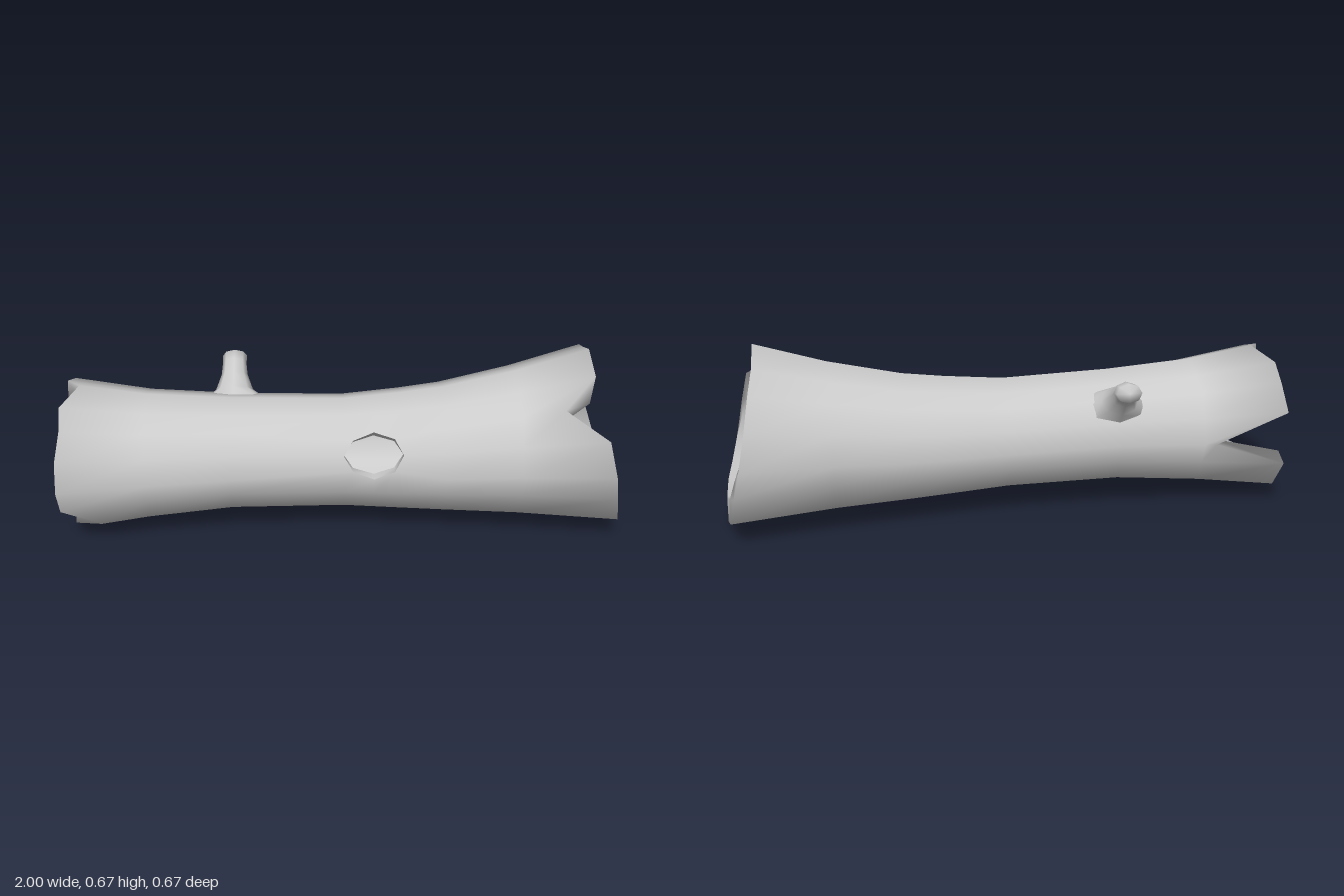
import * as THREE from 'three';

const COLS = 16, STEP = Math.PI / 8;
// [x, radius, centre height] of the bark and of the hollow
const OUTER = [[-0.98, 0.283, 0.293], [-0.7, 0.24, 0.29], [-0.4, 0.215, 0.295], [0, 0.21, 0.29],
  [0.32, 0.236, 0.296], [0.62, 0.278, 0.325], [0.87, 0.333, 0.35], [1, 0.333, 0.352]];
const INNER = [[-0.98, 0.212, 0.292], [-0.4, 0.18, 0.292], [0, 0.177, 0.291], [0.32, 0.184, 0.293],
  [0.62, 0.2, 0.305], [1, 0.222, 0.33]];
// x of the broken rim at the narrow end for each column; the peaks inward are splits
const LEFT_RIM = [-1, -1, -0.98, -0.99, -0.93, -0.99, -0.98, -1, -0.74, -1, -0.98, -0.98, -0.98, -0.98, -0.87, -1];
const STATIONS = [null, -0.7, -0.4, 0, 0.105, 0.21, 0.36, 0.62, null];
const N = STATIONS.length, HOLE_ROW = 3, HOLE_COL = 0;

function sample(table, x) {
  let i = 0;
  while (i < table.length - 2 && x > table[i + 1][0]) i++;
  const [a, b] = [table[i], table[i + 1]];
  const t = THREE.MathUtils.clamp((x - a[0]) / (b[0] - a[0]), 0, 1);
  return [a[1] + (b[1] - a[1]) * t, a[2] + (b[2] - a[2]) * t];
}

// Slanted cut of the wide end, with one deep split
function rightRim(col) {
  if (col === 2) return 0.76;
  const y = 0.35 + 0.333 * Math.sin(col * STEP);
  return 1 - 0.13 * (y - 0.02) / 0.66;
}

// A point on the eight-sided wall
function wallPoint(row, col) {
  const inner = row >= N, s = inner ? 2 * N - 1 - row : row;
  let x = s === 0 ? LEFT_RIM[col] : s === N - 1 ? rightRim(col) : STATIONS[s];
  let a = col * STEP;
  const dr = s - HOLE_ROW - 1, dc = col - HOLE_COL - 1;
  // Pull in the corners of the knot hole so it becomes an octagon
  if (Math.abs(dr) === 1 && Math.abs(dc) === 1) {
    x -= dr * 0.032;
    a -= dc * STEP * 0.3;
  }
  const [radius, cy] = sample(inner ? INNER : OUTER, x);
  const m = ((a % (2 * STEP)) + 2 * STEP) % (2 * STEP);
  const r = radius * Math.cos(STEP) / Math.cos(m - STEP);
  return { x, r: radius, a, pos: new THREE.Vector3(x, cy + r * Math.sin(a), r * Math.cos(a)) };
}

function makeGeometry(positions, index, normals) {
  const g = new THREE.BufferGeometry();
  g.setAttribute('position', new THREE.Float32BufferAttribute(positions, 3));
  g.setIndex(index);
  if (normals) g.setAttribute('normal', new THREE.Float32BufferAttribute(normals, 3));
  else g.computeVertexNormals();
  return g;
}

// Bark, rims and hollow as one closed loop of rows
function hollowLog() {
  const rows = 2 * N, positions = [], normals = [], index = [];
  for (let i = 0; i < rows; i++) {
    for (let j = 0; j < COLS; j++) {
      const p = wallPoint(i, j), prev = wallPoint((i + rows - 1) % rows, j), next = wallPoint((i + 1) % rows, j);
      const t = new THREE.Vector2(p.x - prev.x, p.r - prev.r).normalize()
        .add(new THREE.Vector2(next.x - p.x, next.r - p.r).normalize()).normalize();
      positions.push(...p.pos.toArray());
      normals.push(-t.y, t.x * Math.sin(p.a), t.x * Math.cos(p.a));
      const s = i < N ? i : rows - 2 - i;
      const inHole = (s === HOLE_ROW || s === HOLE_ROW + 1) && j >= HOLE_COL && j < HOLE_COL + 2;
      if (inHole) continue;
      const i2 = (i + 1) % rows, j2 = (j + 1) % COLS;
      const a = i * COLS + j, b = i2 * COLS + j, c = i2 * COLS + j2, d = i * COLS + j2;
      index.push(a, b, c, a, c, d);
    }
  }
  return makeGeometry(positions, index, normals);
}

// Thickness of the wall around the knot hole
function holeEdge() {
  const ring = [[0, 0], [1, 0], [2, 0], [2, 1], [2, 2], [1, 2], [0, 2], [0, 1]];
  const positions = [], index = [];
  ring.forEach(([r, c], k) => {
    const row = HOLE_ROW + r, col = HOLE_COL + c;
    positions.push(...wallPoint(row, col).pos.toArray(), ...wallPoint(2 * N - 1 - row, col).pos.toArray());
    const a = 2 * k, b = 2 * ((k + 1) % 8);
    index.push(a, b, b + 1, a, b + 1, a + 1);
  });
  return makeGeometry(positions, index);
}

// Bent stub: rings of [y, z, half width along x, half height, tilt of the axis above -z]
function branchStub() {
  const rings = [[0.421, -0.131, 0.13, 0.07, 0.79], [0.452, -0.168, 0.068, 0.058, 0.85],
    [0.49, -0.215, 0.048, 0.042, 0.75], [0.518, -0.25, 0.044, 0.037, 0.5], [0.529, -0.292, 0.045, 0.034, 0.38]];
  const sides = 8, positions = [], index = [];
  rings.forEach(([y, z, w, h, tilt], i) => {
    for (let k = 0; k < sides; k++) {
      const a = k / sides * Math.PI * 2, u = h * Math.sin(a);
      positions.push(-0.395 + w * Math.cos(a), y + u * Math.cos(tilt), z + u * Math.sin(tilt));
      if (i === rings.length - 1) continue;
      const k2 = (k + 1) % sides, p = i * sides + k, q = i * sides + k2;
      index.push(p, q + sides, q, p, p + sides, q + sides);
    }
  });
  // Slightly domed tip
  const tip = positions.length / 3, last = (rings.length - 1) * sides;
  positions.push(-0.395, 0.531, -0.3);
  for (let k = 0; k < sides; k++) index.push(last + k, tip, last + (k + 1) % sides);
  return makeGeometry(positions, index);
}

export function createModel() {
  const group = new THREE.Group();
  group.name = 'hollowLog';
  const material = new THREE.MeshStandardMaterial({ color: 0xcccccc, side: THREE.DoubleSide });
  const parts = { trunk: hollowLog(), knotHoleEdge: holeEdge(), branchStub: branchStub() };
  for (const [name, geometry] of Object.entries(parts)) {
    const mesh = new THREE.Mesh(geometry, material);
    mesh.name = name;
    group.add(mesh);
  }
  return group;
}
